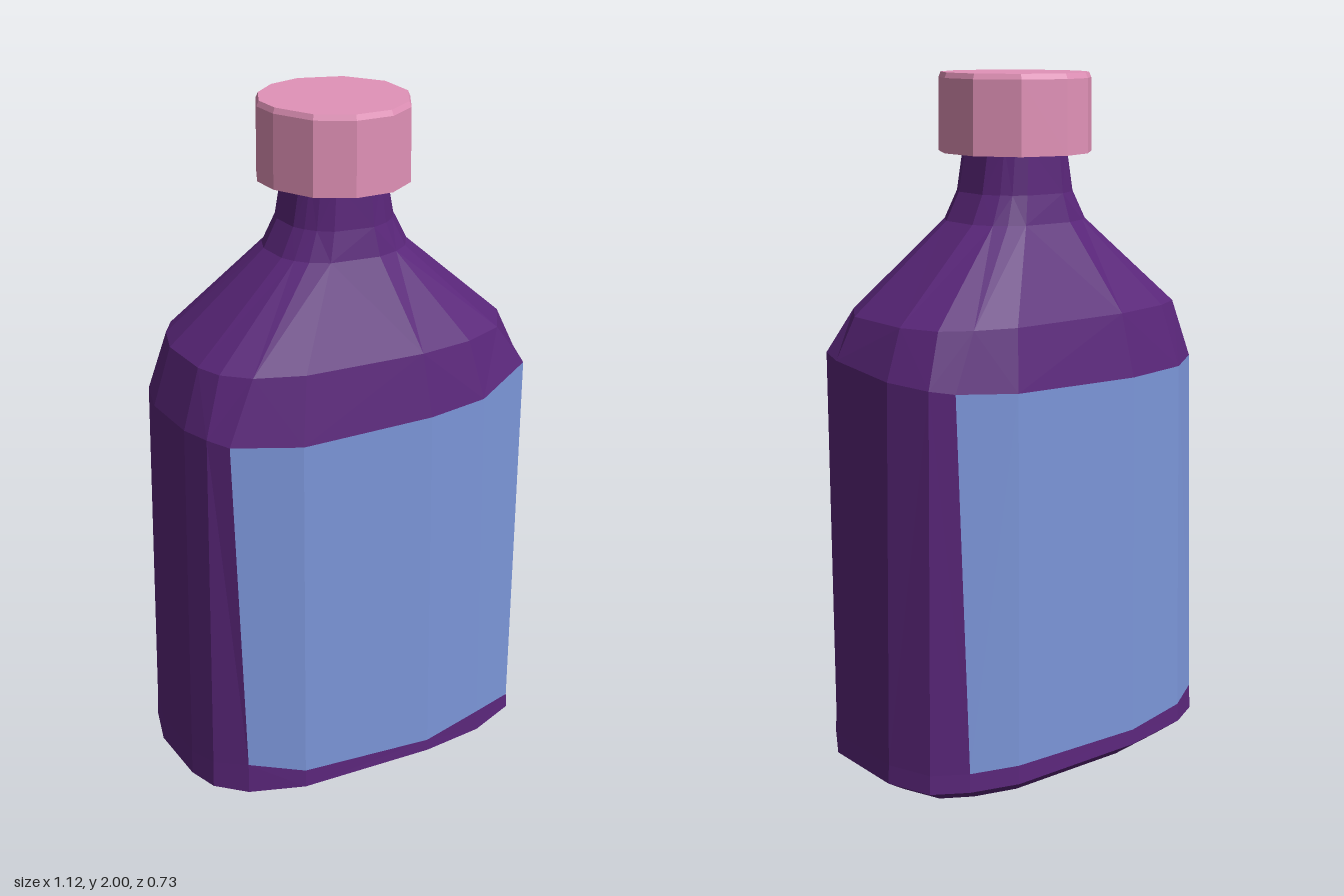
import * as THREE from 'three';

const mat = (name, color) => {
  const m = new THREE.MeshStandardMaterial({ color, flatShading: true });
  m.name = name;
  return m;
};

// Facets between stacked rings, for the columns that pass the test
function loft(rings, keep = () => true, capped = false) {
  const pos = [];
  const tri = (...pts) => pts.forEach((p) => pos.push(...p));
  const n = rings[0].length;
  for (let r = 0; r < rings.length - 1; r++) {
    for (let i = 0; i < n; i++) {
      if (!keep(i, r)) continue;
      const j = (i + 1) % n, a = rings[r], b = rings[r + 1];
      if ((i + r) % 2) tri(a[j], a[i], b[i], a[j], b[i], b[j]);
      else tri(a[j], a[i], b[j], a[i], b[i], b[j]);
    }
  }
  if (capped) {
    const lo = rings[0], hi = rings[rings.length - 1];
    const cLo = [0, lo[0][1], 0], cHi = [0, hi[0][1], 0];
    for (let i = 0; i < n; i++) {
      const j = (i + 1) % n;
      tri(cLo, lo[i], lo[j]);
      tri(cHi, hi[j], hi[i]);
    }
  }
  const g = new THREE.BufferGeometry();
  g.setAttribute('position', new THREE.Float32BufferAttribute(pos, 3));
  g.computeVertexNormals();
  return g;
}

// Body cross-section, clockwise from above, starting at the back
const OUTLINE = [
  [-0.48, -0.28], [-0.38, -0.33], [-0.16, -0.365], [0.27, -0.355], [0.41, -0.31],
  [0.505, -0.25], [0.555, -0.12], [0.555, 0.14], [0.47, 0.285], [0.32, 0.345],
  [0.13, 0.365], [-0.28, 0.35], [-0.44, 0.295], [-0.52, 0.22], [-0.55, 0.13],
  [-0.56, -0.07], [-0.525, -0.2],
];
const LABEL_EDGES = [0, 4, 8, 12];
const LABEL_BOTTOM = [0.12, 0.1, 0.09, 0.1, 0.1, 0.1, 0.1, 0.1, 0.09, 0.11, 0.08, 0.1, 0.14, 0.13, 0.12, 0.12, 0.12];
const LABEL_TOP = [1.17, 1.16, 1.16, 1.17, 1.18, 1.19, 1.2, 1.22, 1.22, 1.17, 1.16, 1.15, 1.16, 1.17, 1.17, 1.17, 1.17];

// One ring: half width, half depth, and how far the outline turns into an ellipse
function bodyRing(y, hx, hz, round = 0, corner = false) {
  return OUTLINE.map(([x, z], i) => {
    let u = x / 0.557, v = z / 0.365;
    const len = Math.hypot(u, v);
    u += (u / len - u) * round;
    v += (v / len - v) * round;
    if (corner && LABEL_EDGES.includes(i)) {
      u *= i === 0 ? 1.02 : 1.08;
      v *= 0.94;
    }
    return [u * hx, Array.isArray(y) ? y[i] : y, v * hz];
  });
}

export function createModel() {
  const group = new THREE.Group();
  const glass = mat('purple glass', 0x5a267a);
  const paper = mat('blue label', 0x7b95d8);
  const pink = mat('pink cap', 0xe292b8);
  const add = (name, geometry, material) => {
    const m = new THREE.Mesh(geometry, material);
    m.name = name;
    group.add(m);
  };

  const rings = [
    bodyRing(0, 0.49, 0.31),
    bodyRing(0.045, 0.557, 0.365),
    bodyRing(LABEL_BOTTOM, 0.554, 0.362),
    bodyRing(LABEL_TOP, 0.532, 0.346, 0, true),
    bodyRing(1.34, 0.482, 0.312, 0.15),
    bodyRing(1.59, 0.205, 0.182, 0.8),
    bodyRing(1.67, 0.165, 0.165, 1),
    bodyRing(1.8, 0.14, 0.155, 1),
  ];

  // Labels fill the front and back columns of the main band
  const isFront = (i, r) => r === 2 && i >= 8 && i < 12;
  const isBack = (i, r) => r === 2 && i < 4;
  add('bottleBody', loft(rings, (i, r) => !isFront(i, r) && !isBack(i, r), true), glass);
  add('frontLabel', loft(rings, isFront), paper);
  add('backLabel', loft(rings, isBack), paper);

  // Faceted cap with a slightly worn top edge
  const capOutline = [
    [0, -0.23], [0.13, -0.19], [0.21, -0.08], [0.21, 0.05], [0.15, 0.16], [0.06, 0.22],
    [-0.05, 0.22], [-0.15, 0.165], [-0.21, 0.05], [-0.215, -0.04], [-0.175, -0.13], [-0.1, -0.2],
  ];
  const capRing = (y, s) => capOutline.map(([x, z]) => [x * s, y, z * s]);
  add('cap', loft([capRing(1.78, 1), capRing(1.985, 0.99), capRing(2, 0.96)], undefined, true), pink);

  return group;
}
